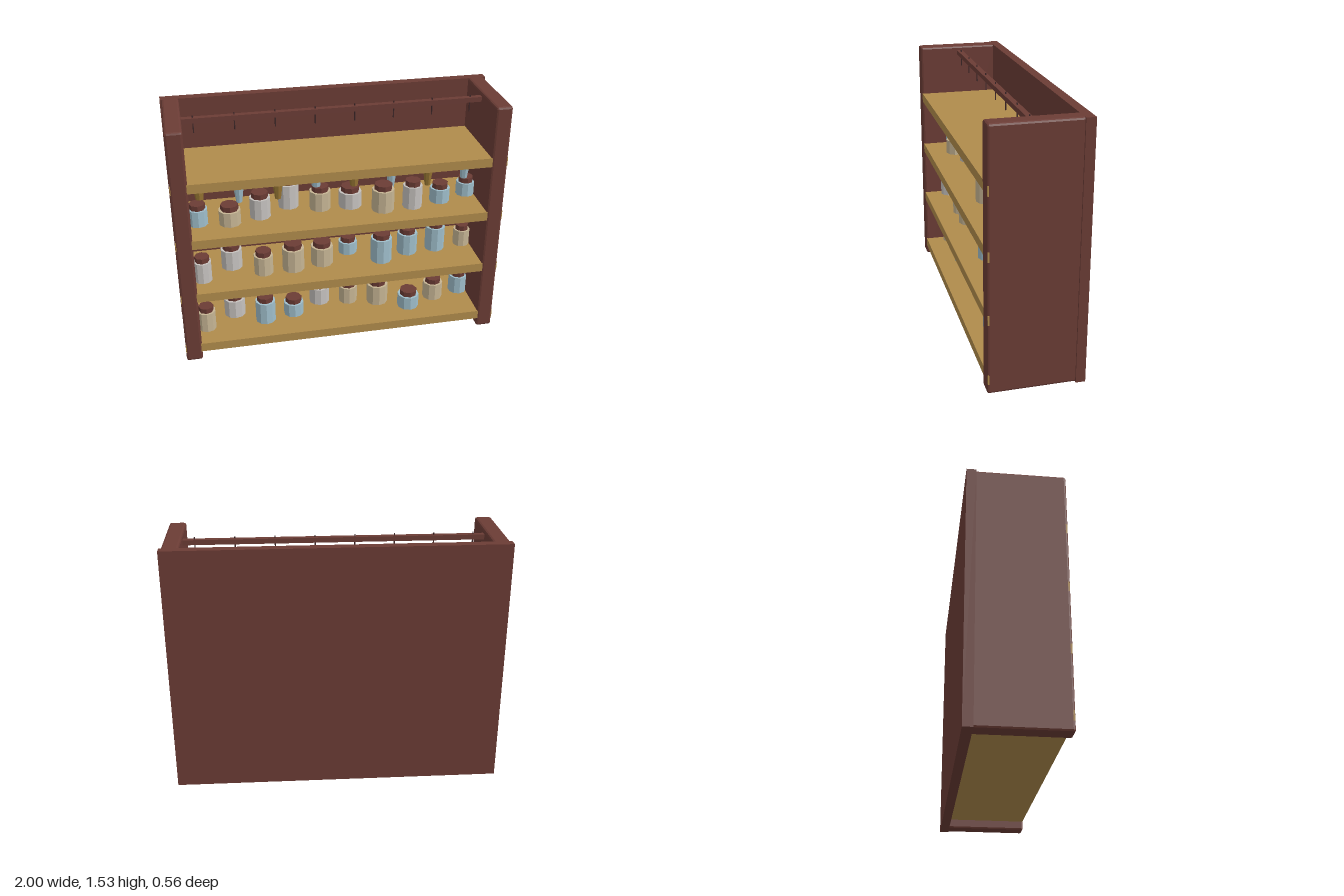
import * as THREE from 'three';
import { RoundedBoxGeometry } from 'three/addons/geometries/RoundedBoxGeometry.js';

const mat = (name, color) =>
  Object.assign(new THREE.MeshStandardMaterial({ color, flatShading: true }), { name });

export function createModel() {
  const redWood = mat('red wood', 0x6b3c35);
  const goldWood = mat('gold wood', 0xb08b4b);
  const darkMetal = mat('dark metal', 0x40292a);
  const ochre = mat('ochre herb', 0x9a7834);
  const glass = {
    b: mat('blue glass', 0x9fbecb),
    c: mat('cream glass', 0xc6b594),
    w: mat('white glass', 0xc6c2bf),
  };

  const root = new THREE.Group();
  root.name = 'jarShelf';
  const add = (name, geo, material, x, y, z, parent = root) => {
    const m = new THREE.Mesh(geo, material);
    m.name = name;
    m.position.set(x, y, z);
    parent.add(m);
    return m;
  };

  // Cabinet: back panel and two chamfered side boards
  add('backPanel', new THREE.BoxGeometry(2, 1.53, 0.056), redWood, 0, 0.765, -0.252);
  const sideGeo = new RoundedBoxGeometry(0.1, 1.53, 0.53, 1, 0.013);
  add('leftSide', sideGeo, redWood, 0.94, 0.765, 0.015);
  add('rightSide', sideGeo, redWood, -0.94, 0.765, 0.015);

  // Four shelves, their front corners showing past the chamfers
  const shelfGeo = new THREE.BoxGeometry(1.979, 0.057, 0.507);
  [0.0875, 0.4525, 0.82, 1.1825].forEach((y) => add('shelf', shelfGeo, goldWood, 0, y, 0.0235));

  // Hanging rail with hooks and tapered bundles
  add('rail', new THREE.BoxGeometry(1.79, 0.03, 0.034), redWood, 0, 1.488, 0.014);
  const hookGeo = new THREE.CylinderGeometry(0.004, 0.004, 0.105, 6);
  const bundleGeo = new THREE.CylinderGeometry(0.05, 0.018, 0.24, 8);
  for (let i = 0; i < 8; i++) {
    const x = -0.824 + i * 0.235;
    add('hook', hookGeo, darkMetal, x, 1.4625, 0.014);
    add('hangingBundle', bundleGeo, i % 2 ? glass.b : ochre, x, 1.06, 0.014);
  }

  // Jars: [glass, body height, radius, z] from right to left on each shelf
  const rows = [
    { y: 0.116, jars: [
      ['c', 0.13, 0.058, 0.105], ['w', 0.12, 0.069, -0.02], ['b', 0.146, 0.064, 0.09],
      ['b', 0.088, 0.064, 0.05], ['w', 0.114, 0.066, -0.055], ['c', 0.114, 0.06, -0.025],
      ['c', 0.135, 0.069, 0.02], ['b', 0.088, 0.069, 0.11], ['c', 0.114, 0.064, 0.04],
      ['b', 0.12, 0.06, 0]] },
    { y: 0.481, jars: [
      ['w', 0.134, 0.056, 0.115], ['w', 0.129, 0.067, -0.01], ['c', 0.124, 0.06, 0.1],
      ['c', 0.15, 0.069, 0.09], ['c', 0.124, 0.07, 0.057], ['b', 0.08, 0.06, -0.045],
      ['b', 0.16, 0.067, 0.095], ['b', 0.14, 0.064, 0.03], ['b', 0.16, 0.062, 0.02],
      ['c', 0.108, 0.052, 0]] },
    { y: 0.8485, jars: [
      ['b', 0.102, 0.06, 0.067], ['c', 0.092, 0.067, 0.095], ['w', 0.13, 0.064, 0.045],
      ['w', 0.156, 0.064, -0.055], ['c', 0.12, 0.066, 0.01], ['w', 0.102, 0.071, 0.015],
      ['c', 0.14, 0.069, 0.105], ['w', 0.146, 0.06, 0.1], ['b', 0.092, 0.062, 0.06],
      ['b', 0.087, 0.058, 0]] },
  ];
  for (const { y, jars } of rows) {
    jars.forEach(([kind, h, r, z], i) => {
      const jar = new THREE.Group();
      jar.name = 'jar';
      jar.position.set(-0.843 + i * 0.187, y, z);
      root.add(jar);
      add('jarBody', new THREE.CylinderGeometry(r, r, h, 10), glass[kind], 0, h / 2, 0, jar);
      add('jarLid', new THREE.CylinderGeometry(r * 0.8, r * 0.8, 0.034, 8), redWood, 0, h + 0.016, 0, jar);
    });
  }
  return root;
}
